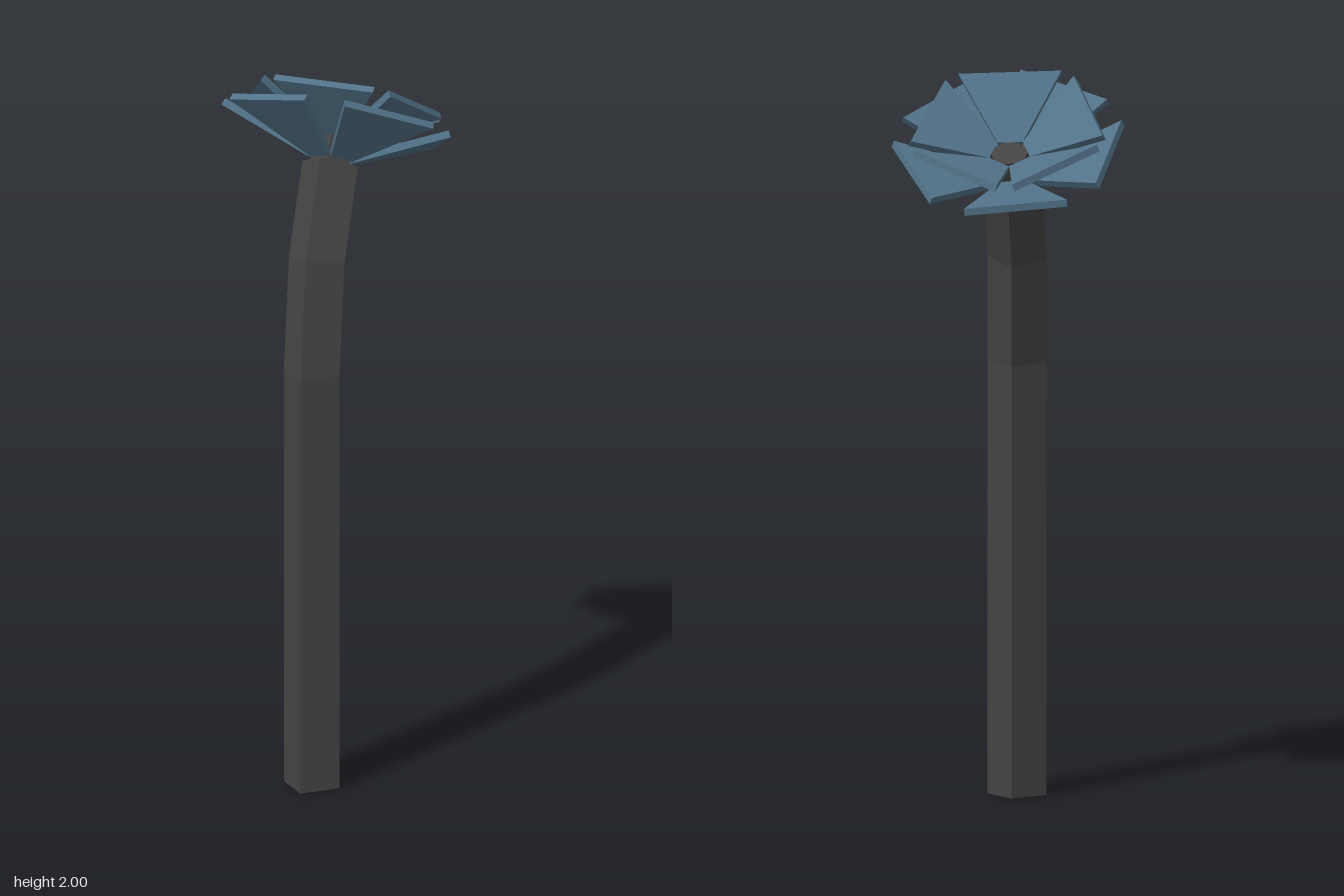
import * as THREE from 'three';

const UP = new THREE.Vector3(0, 1, 0);
const AXIS = new THREE.Vector3(0.38, 1, -0.42).normalize();
const TILT = new THREE.Quaternion().setFromUnitVectors(UP, AXIS);

// Square tube through a few tilted cross-sections, capped at both ends
function stemGeometry(sections, half) {
  const pos = [], index = [];
  for (const [x, y, z, bend] of sections) {
    const q = new THREE.Quaternion().slerp(TILT, bend);
    for (const [sx, sz] of [[-1, -1], [-1, 1], [1, 1], [1, -1]]) {
      const p = new THREE.Vector3(sx * half, 0, sz * half).applyQuaternion(q);
      pos.push(p.x + x, p.y + y, p.z + z);
    }
  }
  for (let i = 0; i < sections.length - 1; i++) {
    for (let j = 0; j < 4; j++) {
      const a = i * 4 + j, b = i * 4 + (j + 1) % 4;
      index.push(a, b, b + 4, a, b + 4, a + 4);
    }
  }
  const t = (sections.length - 1) * 4;
  index.push(0, 2, 1, 0, 3, 2, t, t + 1, t + 2, t, t + 2, t + 3);
  const g = new THREE.BufferGeometry();
  g.setAttribute('position', new THREE.Float32BufferAttribute(pos, 3));
  g.setIndex(index);
  const flat = g.toNonIndexed();
  flat.computeVertexNormals();
  return flat;
}

// Thin wedge plate rising outwards from the core
function petalGeometry({ r0, y0, r1, y1, w0, w1, thick }) {
  const len = Math.hypot(r1 - r0, y1 - y0);
  const shape = new THREE.Shape([
    new THREE.Vector2(0, -w0), new THREE.Vector2(len, -w1),
    new THREE.Vector2(len, w1), new THREE.Vector2(0, w0),
  ]);
  const g = new THREE.ExtrudeGeometry(shape, { depth: thick, bevelEnabled: false });
  g.rotateX(Math.PI / 2);
  g.rotateZ(Math.atan2(y1 - y0, r1 - r0));
  g.translate(r0, y0, 0);
  return g;
}

export function createModel() {
  const model = new THREE.Group();
  model.name = 'flower';
  const dark = new THREE.MeshStandardMaterial({ color: 0x444444, flatShading: true });
  const blue = new THREE.MeshStandardMaterial({ color: 0x527288, flatShading: true });

  // Bent stem
  const stem = new THREE.Mesh(stemGeometry([
    [-0.137, 0, 0.2025, 0],
    [-0.137, 1.185, 0.2025, 0],
    [-0.1, 1.485, 0.15, 0.5],
    [-0.02, 1.72, 0.055, 1],
  ], 0.0575), dark);
  stem.name = 'stem';
  model.add(stem);

  // Tilted flower head
  const head = new THREE.Group();
  head.name = 'flowerHead';
  head.position.set(0.012, 1.795, 0.023);
  head.quaternion.copy(TILT);
  model.add(head);

  // Five-sided core, its sides facing the inner petals
  const innerAngle = THREE.MathUtils.degToRad(55.5);
  const core = new THREE.Mesh(new THREE.CylinderGeometry(0.058, 0.058, 0.09, 5), dark);
  core.name = 'core';
  core.position.y = -0.045;
  core.rotation.y = Math.PI / 2 - Math.PI / 5 - innerAngle + Math.PI * 2 / 5 - Math.PI / 2 * 2;
  head.add(core);

  // Two rings of five petals
  const rings = [
    { name: 'innerPetal', start: innerAngle, r0: 0.047, y0: 0, r1: 0.228, y1: 0.1 },
    { name: 'outerPetal', start: THREE.MathUtils.degToRad(14), r0: 0.047, y0: -0.06, r1: 0.28, y1: 0.042 },
  ];
  for (const ring of rings) {
    const geometry = petalGeometry({ ...ring, w0: 0.034, w1: 0.14, thick: 0.02 });
    for (let i = 0; i < 5; i++) {
      const petal = new THREE.Mesh(geometry, blue);
      petal.name = ring.name + (i + 1);
      petal.rotation.y = -(ring.start + i * Math.PI * 2 / 5);
      head.add(petal);
    }
  }
  return model;
}
